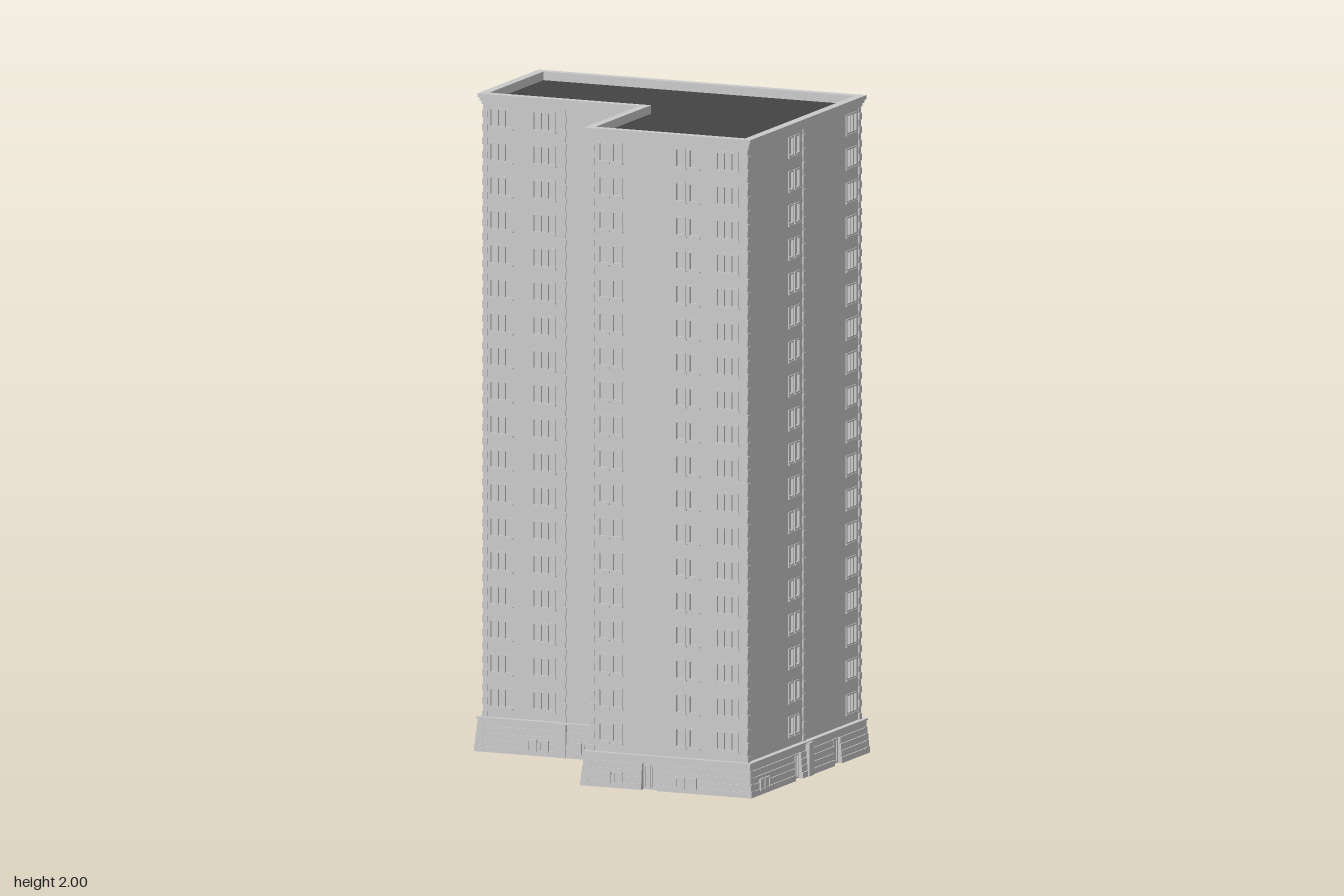
import * as THREE from 'three';
import { mergeGeometries } from 'three/addons/utils/BufferGeometryUtils.js';

const grey = new THREE.MeshStandardMaterial({ color: 0xcccccc, side: THREE.DoubleSide });
const roofDark = new THREE.MeshStandardMaterial({ color: 0x444444 });
const orange = new THREE.MeshStandardMaterial({ color: 0xb5713a });

const FLOORS = 18, PITCH = 0.1027, FIRST_SILL = 0.152, WIN_H = 0.06;
const BASE_Y = 0.02, WALL_Y = 0.12, WALL_TOP = 1.972;

// L-shaped plan pushed outwards by d, as [x, z] corners
const plan = (d) => [
  [-0.52 - d, -0.405 - d], [0.515 + d, -0.405 - d], [0.515 + d, 0.41 + d],
  [0.005 - d, 0.41 + d], [0.005 - d, 0.01 + d], [-0.52 - d, 0.01 + d],
];
const planPoints = (d) => plan(d).map(([x, z]) => new THREE.Vector2(x, -z));

function box(x0, x1, y0, y1, z0, z1) {
  return new THREE.BoxGeometry(x1 - x0, y1 - y0, z1 - z0)
    .translate((x0 + x1) / 2, (y0 + y1) / 2, (z0 + z1) / 2);
}

function rectPath(x0, x1, y0, y1) {
  return new THREE.Path([[x0, y0], [x0, y1], [x1, y1], [x1, y0]].map((p) => new THREE.Vector2(...p)));
}

function rectShape(x0, x1, y0, y1) {
  return new THREE.Shape([[x0, y0], [x1, y0], [x1, y1], [x0, y1]].map((p) => new THREE.Vector2(...p)));
}

function addMerged(parent, name, parts, material = grey) {
  if (!parts.length) return;
  const mesh = new THREE.Mesh(mergeGeometries(parts.map((g) => (g.index ? g.toNonIndexed() : g))), material);
  mesh.name = name;
  parent.add(mesh);
}

// Horizontal L-shaped ring between two offsets
function ring(outer, inner, y0, y1) {
  const shape = new THREE.Shape(planPoints(outer));
  shape.holes.push(new THREE.Path(planPoints(inner)));
  return new THREE.ExtrudeGeometry(shape, { depth: y1 - y0, bevelEnabled: false })
    .rotateX(-Math.PI / 2).translate(0, y0, 0);
}

// Frame with equal panes, standing on y = 0
function windowFrame(w, h, panes, depth) {
  const shape = rectShape(-w / 2, w / 2, 0, h);
  const t = 0.005, pw = (w - t) / panes;
  for (let i = 0; i < panes; i++) {
    const x = -w / 2 + t + i * pw;
    shape.holes.push(rectPath(x, x + pw - t, t, h - t));
  }
  return new THREE.ExtrudeGeometry(shape, { depth, bevelEnabled: false });
}

// Each face: u runs along the wall, positive to the right as seen from outside
const faces = [
  { name: 'rearBarFront', rot: 0, pos: [0, 0.01], u: [-0.52, 0.005],
    wins: [[-0.465, 0], [-0.325, 0], [-0.06, 0]], pil: [-0.26], doors: [], low: [-0.335, -0.19] },
  { name: 'wingFront', rot: 0, pos: [0, 0.41], u: [0.005, 0.515],
    wins: [[0.07, 1], [0.32, 1], [0.45, 0]], pil: [], doors: [0.205], low: [0.085, 0.325] },
  { name: 'eastSide', rot: 1, pos: [0.515, 0], u: [-0.41, 0.405],
    wins: [[-0.075, 1], [0.34, 0]], pil: [-0.005], doors: [-0.085, 0.2], low: [-0.335] },
  { name: 'back', rot: 2, pos: [0, -0.405], u: [-0.515, 0.52],
    wins: [[-0.45, 0], [-0.33, 1], [-0.2, 0], [-0.07, 1], [0.055, 1], [0.19, 0], [0.32, 1], [0.45, 0]],
    pil: [-0.005, 0.26], doors: [-0.44, 0.18], low: [-0.33, -0.2, -0.07, 0.055, 0.32] },
  { name: 'westSide', rot: -1, pos: [-0.52, 0], u: [-0.405, 0.01],
    wins: [], pil: [], doors: [-0.325], low: [-0.15] },
  { name: 'courtSide', rot: -1, pos: [0.005, 0], u: [0.01, 0.41],
    wins: [[0.1, 1], [0.23, 0]], pil: [], doors: [0.205], low: [0.09, 0.32] },
];

function buildFace({ name, rot, pos, u, wins, pil, doors, low }) {
  const group = new THREE.Group();
  group.name = name;
  group.rotation.y = rot * Math.PI / 2;
  group.position.set(pos[0], 0, pos[1]);
  const wall = rectShape(u[0], u[1], WALL_Y, WALL_TOP);
  const frames = [], glass = [], sills = [], quoins = [], courses = [], doorParts = [];

  // Wall openings with frames, panes and sills; a split window is two narrow ones
  for (const [centre, split] of wins) {
    const units = split ? [[centre - 0.022, 0.036, 1], [centre + 0.022, 0.036, 1]] : [[centre, 0.076, 3]];
    for (let f = 0; f < FLOORS; f++) {
      const y = FIRST_SILL + f * PITCH;
      for (const [x, w, panes] of units) {
        wall.holes.push(rectPath(x - w / 2, x + w / 2, y, y + WIN_H));
        frames.push(windowFrame(w, WIN_H, panes, 0.01).translate(x, y, -0.007));
        glass.push(new THREE.PlaneGeometry(w, WIN_H).translate(x, y + WIN_H / 2, -0.005));
        sills.push(box(x - w / 2 - 0.002, x + w / 2 + 0.002, y - 0.004, y, -0.002, 0.005));
      }
    }
  }

  // Toothed strips up the wall, standing on plinth piers
  for (const x of pil) {
    for (let i = 0; i < 90; i++) {
      const w = i % 2 ? 0.006 : 0.01, y = WALL_Y + i * 0.02055;
      quoins.push(box(x - w, x + w, y, y + 0.0205, -0.002, i % 2 ? 0.003 : 0.005));
    }
    courses.push(box(x - 0.016, x + 0.016, BASE_Y, WALL_Y, 0, 0.027));
  }

  // Stepped plinth courses, interrupted at the doors
  for (let i = 0; i < 5; i++) {
    const d = 0.023 - i * 0.002, y = BASE_Y + i * 0.02;
    let start = u[0] - d;
    const gaps = i < 4 ? doors : [];
    for (const end of [...gaps.map((c) => c - 0.025), u[1] + d]) {
      courses.push(box(start, end, y, y + 0.0175, -0.004, d));
      courses.push(box(start, end, y + 0.0175, y + 0.02, -0.004, d - 0.004));
      start = end + 0.05;
    }
  }
  for (const c of doors) {
    doorParts.push(box(c - 0.025, c + 0.025, BASE_Y, 0.1, -0.004, 0.006));
    for (const s of [-1, 1]) {
      doorParts.push(windowFrame(0.023, 0.074, 1, 0.004).translate(c + s * 0.012, BASE_Y + 0.002, 0.006));
    }
  }
  // Paired plinth windows
  const lowFrames = [];
  for (const c of low) {
    for (const s of [-1, 1]) {
      lowFrames.push(windowFrame(0.032, 0.036, 1, 0.006).translate(c + s * 0.019, 0.032, 0.02));
      lowFrames.push(box(c + s * 0.019 - 0.015, c + s * 0.019 + 0.015, 0.033, 0.067, 0, 0.0235));
    }
  }

  addMerged(group, 'wall', [new THREE.ShapeGeometry(wall)]);
  addMerged(group, 'windowFrames', frames);
  addMerged(group, 'windowPanes', glass);
  addMerged(group, 'windowSills', sills);
  addMerged(group, 'wallStrips', quoins);
  addMerged(group, 'plinthCourses', courses);
  addMerged(group, 'doors', doorParts);
  addMerged(group, 'plinthWindows', lowFrames);
  return group;
}

export function createModel() {
  const model = new THREE.Group();
  model.name = 'towerBlock';
  faces.forEach((face) => model.add(buildFace(face)));

  // Toothed blocks up the outer corners
  const blocks = [];
  plan(-0.004).forEach(([x, z], corner) => {
    if (corner === 4) return;
    for (let i = 0; i < 90; i++) {
      const s = i % 2 ? 0.006 : 0.009, y = WALL_Y + i * 0.02055;
      blocks.push(box(x - s, x + s, y, y + 0.0205, z - s, z + s));
    }
  });
  addMerged(model, 'cornerBlocks', blocks);

  // Stepped cornice and parapet
  addMerged(model, 'cornice', [
    ring(0.006, -0.012, 1.968, 1.978), ring(0.01, -0.012, 1.978, 1.988), ring(0.015, -0.012, 1.988, 2),
  ]);
  addMerged(model, 'plinthLedge', [ring(0.018, -0.002, 0.118, 0.123)]);

  // Flat roof behind the parapet
  const roof = new THREE.ExtrudeGeometry(new THREE.Shape(planPoints(-0.011)), { depth: 0.004, bevelEnabled: false });
  addMerged(model, 'roof', [roof.rotateX(-Math.PI / 2).translate(0, 1.97, 0)], roofDark);

  // Entrance passage, steps and lift shaft inside the open base
  const lobby = [box(0.05, 0.5, 0.105, 0.11, -0.29, -0.13), box(0.1, 0.2, 0.04, 0.105, -0.29, -0.22)];
  for (let i = 0; i < 8; i++) {
    lobby.push(box(0.25 + i * 0.02, 0.27 + i * 0.02, 0.095 - i * 0.009, 0.105 - i * 0.009, -0.24, -0.16));
  }
  addMerged(model, 'lobby', lobby, roofDark);
  addMerged(model, 'lobbyLamp', [new THREE.ConeGeometry(0.016, 0.02, 8).rotateX(Math.PI).translate(0.13, 0.01, -0.14),
    box(0.128, 0.132, 0.02, 0.106, -0.142, -0.138)], orange);
  return model;
}
